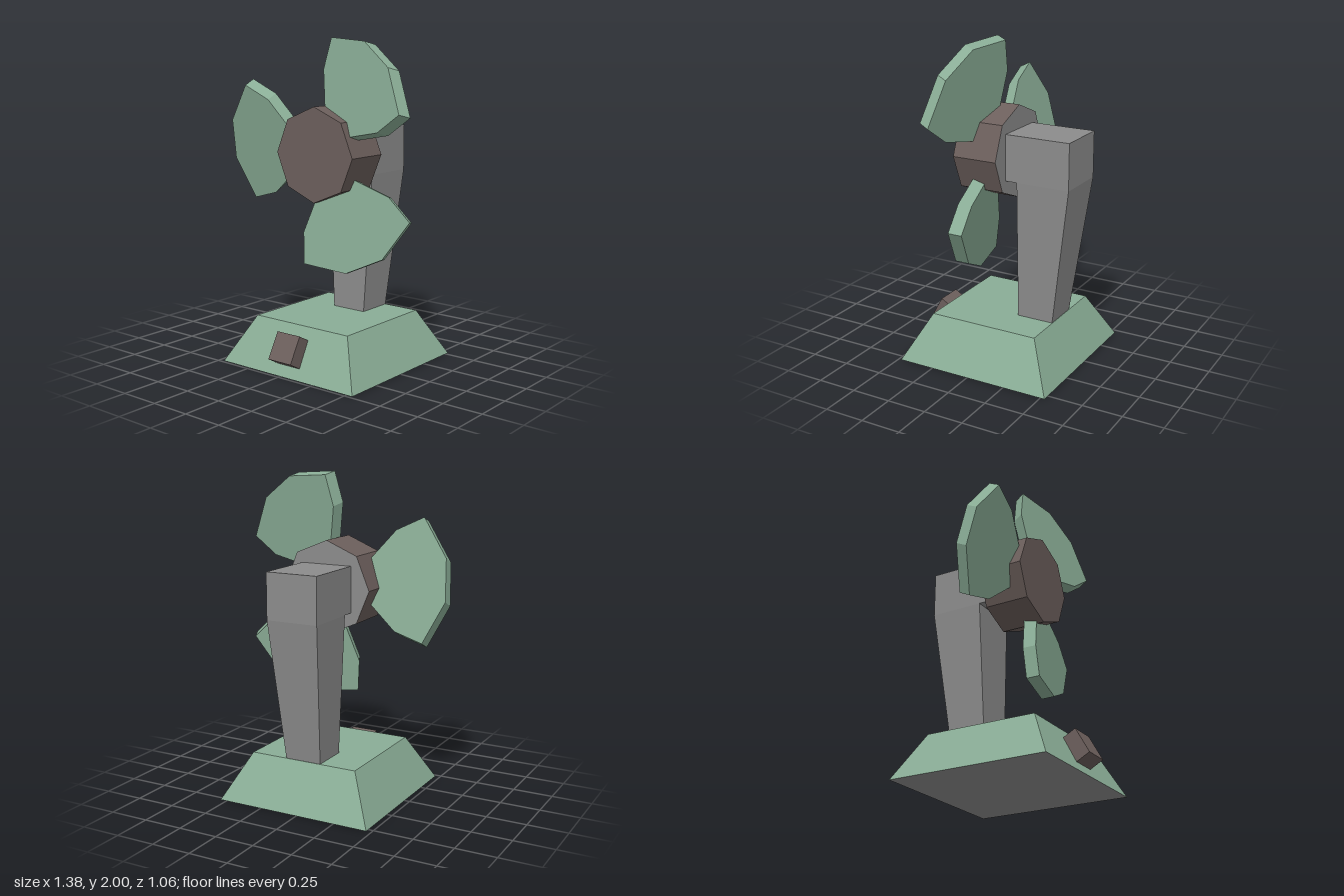
import * as THREE from 'three';

const material = (name, color) => {
  const m = new THREE.MeshStandardMaterial({ color, flatShading: true });
  m.name = name;
  return m;
};

// Box between two rectangles, each given as [xMin, xMax, zMin, zMax] at its height
function taperedBox(y0, low, y1, high) {
  const geo = new THREE.BoxGeometry(1, 1, 1);
  const p = geo.attributes.position;
  for (let i = 0; i < p.count; i++) {
    const top = p.getY(i) > 0;
    const r = top ? high : low;
    p.setXYZ(i, p.getX(i) < 0 ? r[0] : r[1], top ? y1 : y0, p.getZ(i) < 0 ? r[2] : r[3]);
  }
  geo.computeVertexNormals();
  return geo;
}

export function createModel() {
  const green = material('sage green', 0x8aad96);
  const brown = material('warm brown', 0x6c5f5c);
  const grey = material('mid grey', 0x8c8c8c);
  const group = new THREE.Group();
  const add = (name, geo, mat, parent = group) => {
    const mesh = new THREE.Mesh(geo, mat);
    mesh.name = name;
    parent.add(mesh);
    return mesh;
  };
  const axisX = 0.038;

  // Sloped base with a grey underside
  add('base', taperedBox(0, [-0.467, 0.543, -0.528, 0.482], 0.29, [-0.315, 0.392, -0.378, 0.332]),
    [green, green, green, grey, green, green]);

  // Switch lying on the front slope
  const button = add('switch', new THREE.BoxGeometry(0.173, 0.175, 0.1), brown);
  button.rotation.x = -0.507;
  button.position.set(axisX, 0.162, 0.444);

  // Post that widens upward, and the arm reaching to the hub
  add('post', taperedBox(0.28, [-0.079, 0.155, -0.374, -0.14], 1.165, [-0.129, 0.205, -0.495, -0.155]), grey);
  add('arm', taperedBox(1.165, [-0.129, 0.205, -0.495, -0.06], 1.45, [-0.129, 0.205, -0.495, -0.06]), grey);

  // Rotor: eight-sided hub with a grey back
  const rotor = new THREE.Group();
  rotor.name = 'rotor';
  rotor.position.set(axisX, 1.307, 0);
  group.add(rotor);
  const hub = new THREE.CylinderGeometry(0.289, 0.289, 0.287, 8);
  hub.rotateX(Math.PI / 2).translate(0, 0, 0.0635);
  add('hub', hub, [brown, brown, grey], rotor);

  // Blade outline, pointing along x and symmetric about it
  const half = [[0.15, 0.06], [0.395, 0.299], [0.577, 0.367], [0.722, 0.126]];
  const outline = [...half.map(([x, y]) => [x, -y]), ...half.slice().reverse()];
  const shape = new THREE.Shape(outline.map(([x, y]) => new THREE.Vector2(x, y)));
  const blade = new THREE.ExtrudeGeometry(shape, { depth: 0.07, bevelEnabled: false });
  blade.translate(0, 0, -0.035);
  // Pitch the blade with a shear
  blade.applyMatrix4(new THREE.Matrix4().set(
    1, 0, 0, 0,
    0, 1, 0.51, 0,
    0, -0.211, 1, 0.1,
    0, 0, 0, 1));
  blade.computeVertexNormals();
  for (let i = 0; i < 3; i++) {
    add('blade' + (i + 1), blade, green, rotor).rotation.z = THREE.MathUtils.degToRad(55 + 120 * i);
  }
  return group;
}
